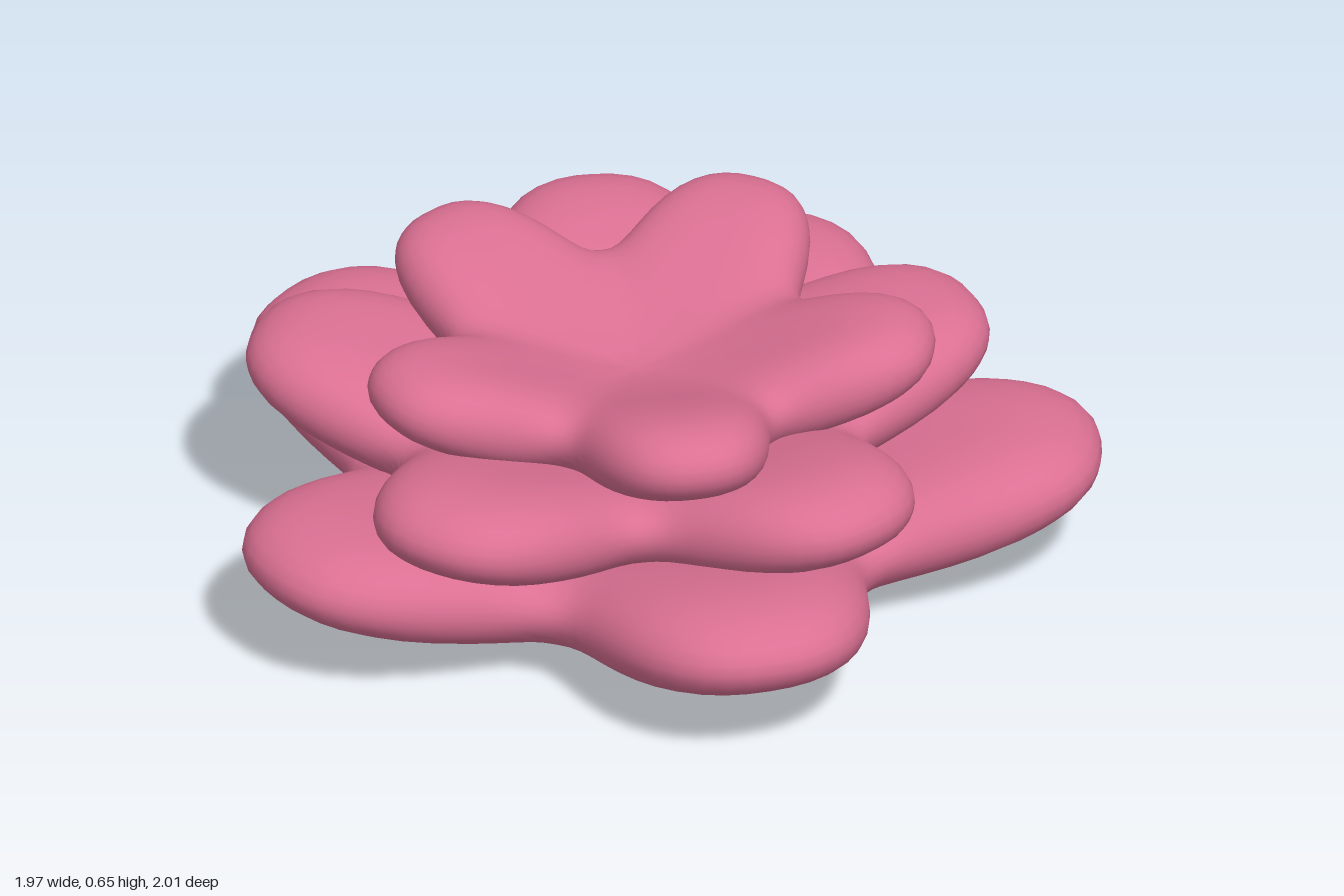
import * as THREE from 'three';

const petalPink = new THREE.MeshStandardMaterial({ color: 0xdb7093 });
petalPink.name = 'petalPink';

const PETALS = 5, AROUND = 120, RINGS = 28;

// 1 along the middle of a petal, falling to 0 in the valley between two petals
function lobe(angle) {
  const turn = (angle / (2 * Math.PI)) * PETALS;
  const u = Math.abs(turn - Math.round(turn)) * 2;
  return Math.pow(1 - Math.pow(u, 2.6), 2.8);
}

// Cupped, puffy flower: rings run from the top centre over the rim to the bottom centre
function cuppedFlower() {
  const pos = [], index = [];
  for (let j = 0; j <= RINGS; j++) {
    const phi = (j / RINGS) * Math.PI;
    const s = Math.sin(phi);
    const side = Math.sign(RINGS / 2 - j);
    const count = j === 0 || j === RINGS ? 1 : AROUND;
    for (let i = 0; i < count; i++) {
      const a = (i / AROUND) * 2 * Math.PI;
      const w = lobe(a);
      const rho = s * (0.67 + 0.37 * w);
      const lift = 0.19 * (0.82 + 0.18 * w);
      const mid = 0.0775 + lift * THREE.MathUtils.smoothstep(rho, 0, 1.1);
      const half = (0.077 + 0.087 * rho) * Math.sqrt(Math.max(0, 1 - s ** 4));
      pos.push(rho * Math.cos(a), mid + side * half, rho * Math.sin(a));
    }
  }
  const id = (j, i) => j === 0 ? 0
    : j === RINGS ? 1 + (RINGS - 1) * AROUND
    : 1 + (j - 1) * AROUND + (i % AROUND);
  for (let j = 0; j < RINGS; j++) {
    for (let i = 0; i < AROUND; i++) {
      const a = id(j, i), b = id(j, i + 1), c = id(j + 1, i), d = id(j + 1, i + 1);
      if (j > 0) index.push(a, b, c);
      if (j < RINGS - 1) index.push(b, d, c);
    }
  }
  const geo = new THREE.BufferGeometry();
  geo.setAttribute('position', new THREE.Float32BufferAttribute(pos, 3));
  geo.setIndex(index);
  geo.computeVertexNormals();
  return geo;
}

export function createModel() {
  const group = new THREE.Group();
  group.name = 'flower';
  const geo = cuppedFlower();

  // Three stacked tiers, each narrower and turned against the one below
  const tiers = [
    { name: 'outerPetals', width: 1, height: 1.02, at: [0.055, 0, -0.008], turn: 31.5 },
    { name: 'middlePetals', width: 0.84, height: 0.95, at: [0.026, 0.185, 0.024], turn: 7.5 },
    { name: 'innerPetals', width: 0.65, height: 0.86, at: [0.034, 0.34, -0.014], turn: 36.5 },
  ];
  for (const t of tiers) {
    const mesh = new THREE.Mesh(geo, petalPink);
    mesh.name = t.name;
    mesh.scale.set(t.width, t.height, t.width);
    mesh.position.set(...t.at);
    mesh.rotation.y = -THREE.MathUtils.degToRad(t.turn);
    group.add(mesh);
  }
  return group;
}
